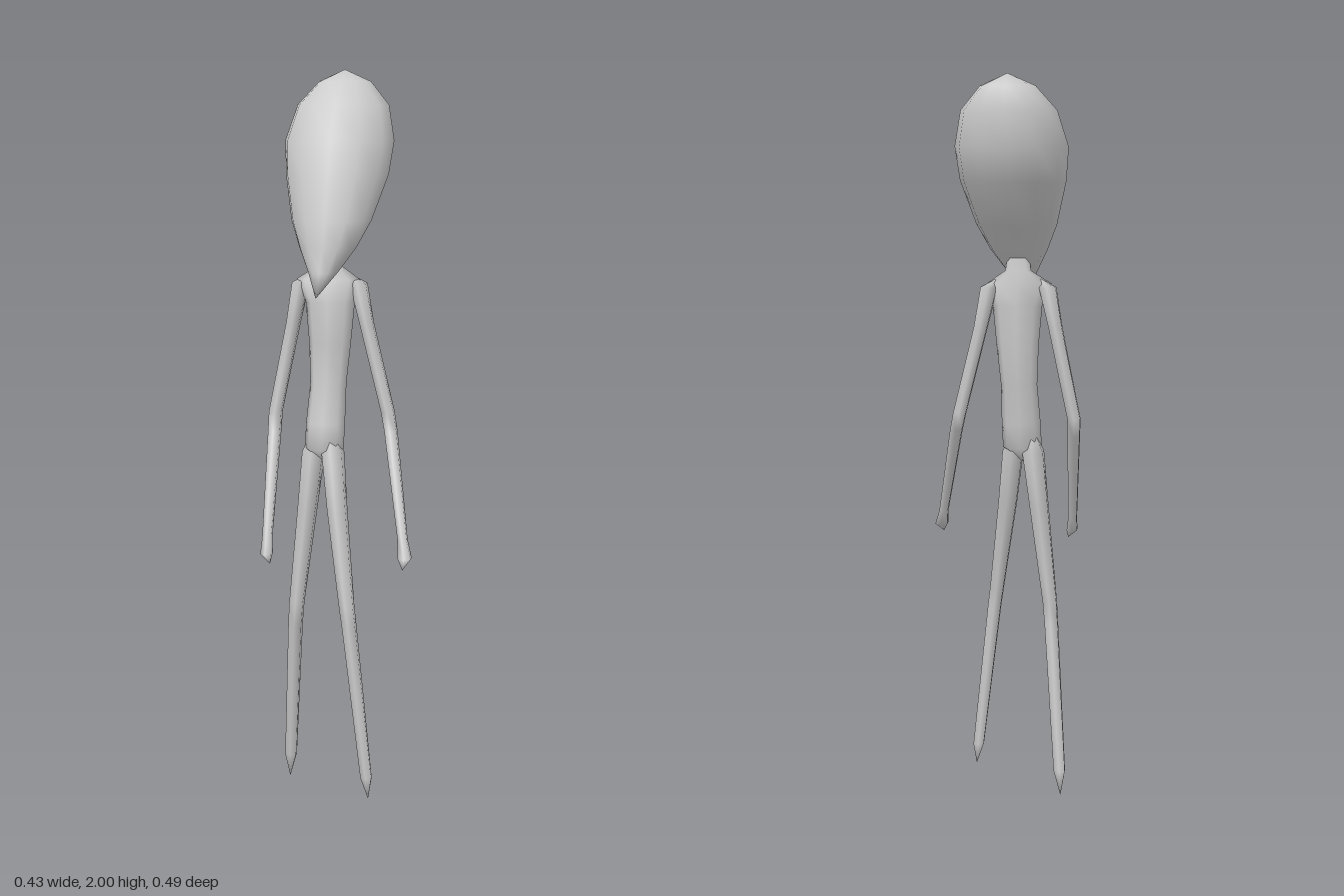
import * as THREE from 'three';
import { mergeVertices } from 'three/addons/utils/BufferGeometryUtils.js';

const material = new THREE.MeshStandardMaterial({ color: 0xcccccc, roughness: 0.8 });

// Skin a list of level rings, top to bottom: [x, y, z, radiusX, radiusZ]
function loft(name, rings, sides) {
  const pos = [], idx = [];
  for (const [x, y, z, rx, rz] of rings) {
    for (let i = 0; i < sides; i++) {
      const a = (i / sides) * Math.PI * 2 + Math.PI / 2;
      pos.push(x + rx * Math.cos(a), y, z + rz * Math.sin(a));
    }
  }
  for (let r = 0; r < rings.length - 1; r++) {
    for (let i = 0; i < sides; i++) {
      const j = (i + 1) % sides;
      const a = r * sides + i, b = r * sides + j, c = a + sides, d = b + sides;
      if (rings[r][3] > 0) idx.push(a, b, c);
      if (rings[r + 1][3] > 0) idx.push(b, d, c);
    }
  }
  let geo = new THREE.BufferGeometry();
  geo.setAttribute('position', new THREE.Float32BufferAttribute(pos, 3));
  geo.setIndex(idx);
  geo = mergeVertices(geo, 1e-5);
  geo.computeVertexNormals();
  const mesh = new THREE.Mesh(geo, material);
  mesh.name = name;
  return mesh;
}

export function createModel() {
  const model = new THREE.Group();
  model.name = 'slenderFigure';

  // Tilted teardrop head: [y, xMin, xMax, zFront, zBack]
  const head = [
    [2.0, -0.03, -0.03, -0.145, -0.145],
    [1.968, -0.105, 0.04, -0.1, -0.22],
    [1.905, -0.16, 0.095, -0.015, -0.25],
    [1.81, -0.188, 0.115, 0.035, -0.235],
    [1.72, -0.18, 0.105, 0.07, -0.205],
    [1.6, -0.15, 0.07, 0.105, -0.095],
    [1.53, -0.122, 0.035, 0.115, -0.04],
    [1.465, -0.09, -0.01, 0.125, 0.015],
    [1.4, -0.058, -0.058, 0.135, 0.135],
  ].map(([y, x0, x1, zf, zb]) => [(x0 + x1) / 2, y, (zf + zb) / 2, (x1 - x0) / 2, (zf - zb) / 2]);
  model.add(loft('head', head, 12));

  // Neck, shoulders, waist and hips
  model.add(loft('torso', [
    [-0.045, 1.56, 0.0, 0.024, 0.022],
    [-0.045, 1.475, 0.0, 0.035, 0.025],
    [-0.048, 1.44, 0.005, 0.088, 0.035],
    [-0.042, 1.38, 0.012, 0.068, 0.045],
    [-0.042, 1.27, 0.015, 0.058, 0.044],
    [-0.046, 1.16, 0.018, 0.05, 0.038],
    [-0.05, 1.05, 0.04, 0.054, 0.042],
    [-0.053, 0.98, 0.045, 0.054, 0.045],
    [-0.055, 0.94, 0.045, 0, 0],
  ], 8));

  // Arms with pointed hands
  model.add(loft('rightArm', [
    [-0.105, 1.455, -0.005, 0, 0],
    [-0.126, 1.43, -0.006, 0.026, 0.03],
    [-0.148, 1.32, -0.008, 0.021, 0.024],
    [-0.2, 1.07, -0.01, 0.02, 0.022],
    [-0.198, 1.02, 0.015, 0.019, 0.024],
    [-0.185, 0.755, 0.175, 0.014, 0.02],
    [-0.182, 0.715, 0.2, 0.017, 0.024],
    [-0.17, 0.69, 0.212, 0, 0],
  ], 6));
  model.add(loft('leftArm', [
    [0.01, 1.455, 0.0, 0, 0],
    [0.034, 1.43, 0.0, 0.026, 0.03],
    [0.058, 1.32, 0.004, 0.021, 0.024],
    [0.118, 1.08, 0.012, 0.02, 0.022],
    [0.13, 1.03, 0.032, 0.019, 0.024],
    [0.188, 0.765, 0.19, 0.014, 0.02],
    [0.198, 0.722, 0.217, 0.02, 0.022],
    [0.195, 0.695, 0.242, 0, 0],
  ], 6));

  // Striding legs ending in pointed feet
  model.add(loft('rightLeg', [
    [-0.075, 1.06, 0.03, 0, 0],
    [-0.084, 0.97, 0.035, 0.033, 0.042],
    [-0.1, 0.82, 0.04, 0.029, 0.034],
    [-0.131, 0.54, 0.048, 0.022, 0.026],
    [-0.136, 0.48, 0.042, 0.021, 0.025],
    [-0.166, 0.07, -0.028, 0.018, 0.015],
    [-0.17, 0, -0.036, 0, 0],
  ], 6));
  model.add(loft('leftLeg', [
    [-0.04, 1.06, 0.045, 0, 0],
    [-0.026, 0.97, 0.058, 0.032, 0.042],
    [-0.008, 0.82, 0.092, 0.029, 0.034],
    [0.028, 0.56, 0.145, 0.022, 0.026],
    [0.036, 0.5, 0.147, 0.021, 0.024],
    [0.084, 0.08, 0.155, 0.017, 0.014],
    [0.09, 0.02, 0.157, 0, 0],
  ], 6));

  return model;
}
